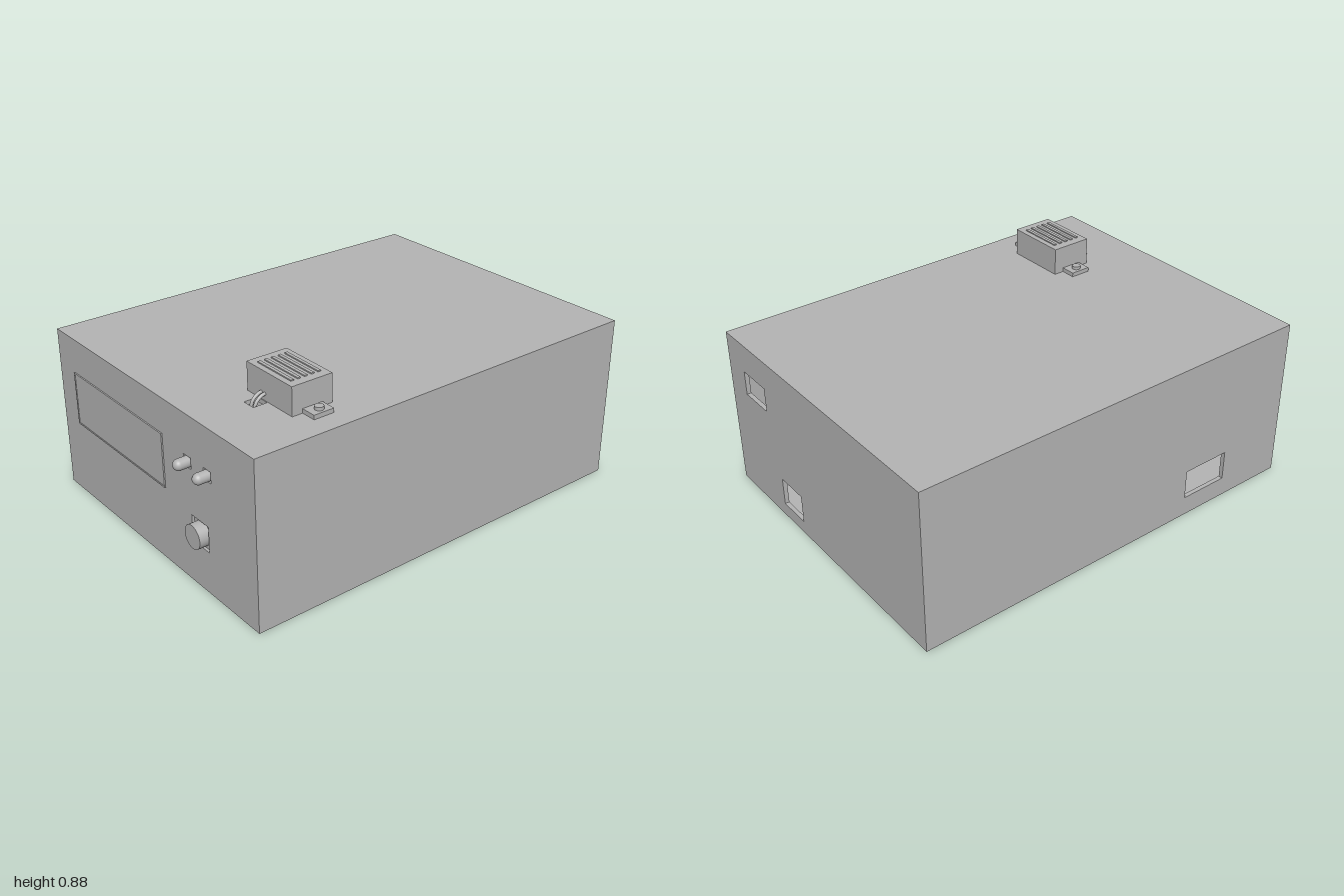
import * as THREE from 'three';

export function createModel() {
  const root = new THREE.Group();
  root.name = 'electronicsEnclosure';
  const grey = new THREE.MeshStandardMaterial({ color: 0xb3b3b3 });
  grey.name = 'plain grey';

  const W = 0.725, H = 0.755, Z0 = -1, Z1 = 0.937, T = 0.02;

  const add = (parent, name, geo, x = 0, y = 0, z = 0) => {
    const m = new THREE.Mesh(geo, grey);
    m.name = name;
    m.position.set(x, y, z);
    parent.add(m);
    return m;
  };
  const box = (parent, name, x0, x1, y0, y1, z0, z1) =>
    add(parent, name, new THREE.BoxGeometry(x1 - x0, y1 - y0, z1 - z0),
      (x0 + x1) / 2, (y0 + y1) / 2, (z0 + z1) / 2);

  // Sheet with rectangular cut-outs, each given as [u0, u1, v0, v1]
  const trace = (path, [u0, u1, v0, v1]) => {
    path.moveTo(u0, v0);
    path.lineTo(u1, v0);
    path.lineTo(u1, v1);
    path.lineTo(u0, v1);
    path.closePath();
    return path;
  };
  const sheet = (outline, holes = [], depth = T) => {
    const shape = trace(new THREE.Shape(), outline);
    holes.forEach(h => shape.holes.push(trace(new THREE.Path(), h)));
    return new THREE.ExtrudeGeometry(shape, { depth, bevelEnabled: false });
  };

  // Hollow case from six panels
  const shell = new THREE.Group();
  shell.name = 'case';
  root.add(shell);
  const ledX = [0.28, 0.415], ledY = 0.547;
  const ledHoles = ledX.map(x => [x - 0.025, x + 0.025, ledY - 0.025, ledY + 0.025]);
  add(shell, 'frontPanel', sheet([-W, W, 0, H], [...ledHoles, [0.29, 0.405, 0.195, 0.313]]), 0, 0, Z1 - T);
  add(shell, 'backPanel', sheet([-W, W, 0, H], [[0.42, 0.593, 0.505, 0.618], [0.19, 0.35, 0.062, 0.193]]), 0, 0, Z0);
  const side = [-Z1 + T, -Z0 - T, 0, H];
  add(shell, 'leftPanel', sheet(side).rotateY(Math.PI / 2), W - T);
  add(shell, 'rightPanel', sheet(side, [[-0.6, -0.367, 0.092, 0.23]]).rotateY(Math.PI / 2), -W);
  const flat = [-W + T, W - T, Z0 + T, Z1 - T];
  add(shell, 'topPanel', sheet(flat, [[0.345, 0.405, 0.645, 0.71]]).rotateX(Math.PI / 2), 0, H);
  add(shell, 'bottomPanel', sheet(flat).rotateX(Math.PI / 2), 0, T);

  // Display with a thin raised rim
  const display = new THREE.Group();
  display.name = 'display';
  root.add(display);
  add(display, 'displayRim', sheet([-0.595, 0.105, 0.35, 0.595], [[-0.588, 0.1, 0.357, 0.588]], 0.006), 0, 0, Z1);
  box(display, 'displayScreen', -0.588, 0.1, 0.357, 0.588, Z1, Z1 + 0.004);

  // Indicator lamps: square socket and domed lens
  ledX.forEach((x, i) => {
    const lamp = new THREE.Group();
    lamp.name = i ? 'leftLamp' : 'rightLamp';
    root.add(lamp);
    box(lamp, 'lampSocket', x - 0.025, x + 0.025, ledY - 0.025, ledY + 0.025, Z1 - 0.04, Z1 - 0.012);
    const lens = new THREE.CapsuleGeometry(0.024, 0.06, 10, 24).rotateX(Math.PI / 2);
    add(lamp, 'lampLens', lens, x, ledY, 0.946);
  });

  // Push button in its square opening
  const button = new THREE.Group();
  button.name = 'pushButton';
  root.add(button);
  box(button, 'buttonHousing', 0.29, 0.405, 0.195, 0.313, Z1 - 0.06, Z1 - 0.012);
  add(button, 'buttonCap', new THREE.CylinderGeometry(0.053, 0.053, 0.055, 48).rotateX(Math.PI / 2),
    0.347, 0.254, 0.9475);

  // Ribbed module screwed to the lid
  const mod = new THREE.Group();
  mod.name = 'topModule';
  root.add(mod);
  box(mod, 'moduleBody', 0.272, 0.558, H, 0.88, 0.45, 0.642);
  for (let i = 0; i < 5; i++) {
    const z = 0.482 + i * 0.032;
    box(mod, 'moduleRib', 0.31, 0.52, 0.88, 0.885, z - 0.007, z + 0.007);
  }
  [[0.202, 0.272, 0.233], [0.558, 0.627, 0.597]].forEach(([x0, x1, sx]) => {
    box(mod, 'mountingTab', x0, x1, H, 0.774, 0.498, 0.593);
    add(mod, 'screwHead', new THREE.CylinderGeometry(0.019, 0.019, 0.014, 32), sx, 0.781, 0.545);
  });

  // Pair of wires bending down through the lid
  [0.364, 0.387].forEach(x => {
    const path = new THREE.CatmullRomCurve3([[0.635, 0.785], [0.652, 0.783], [0.675, 0.769], [0.688, 0.75], [0.69, 0.70]]
      .map(([z, y]) => new THREE.Vector3(x, y, z)));
    add(mod, 'wire', new THREE.TubeGeometry(path, 20, 0.007, 12));
  });

  return root;
}
